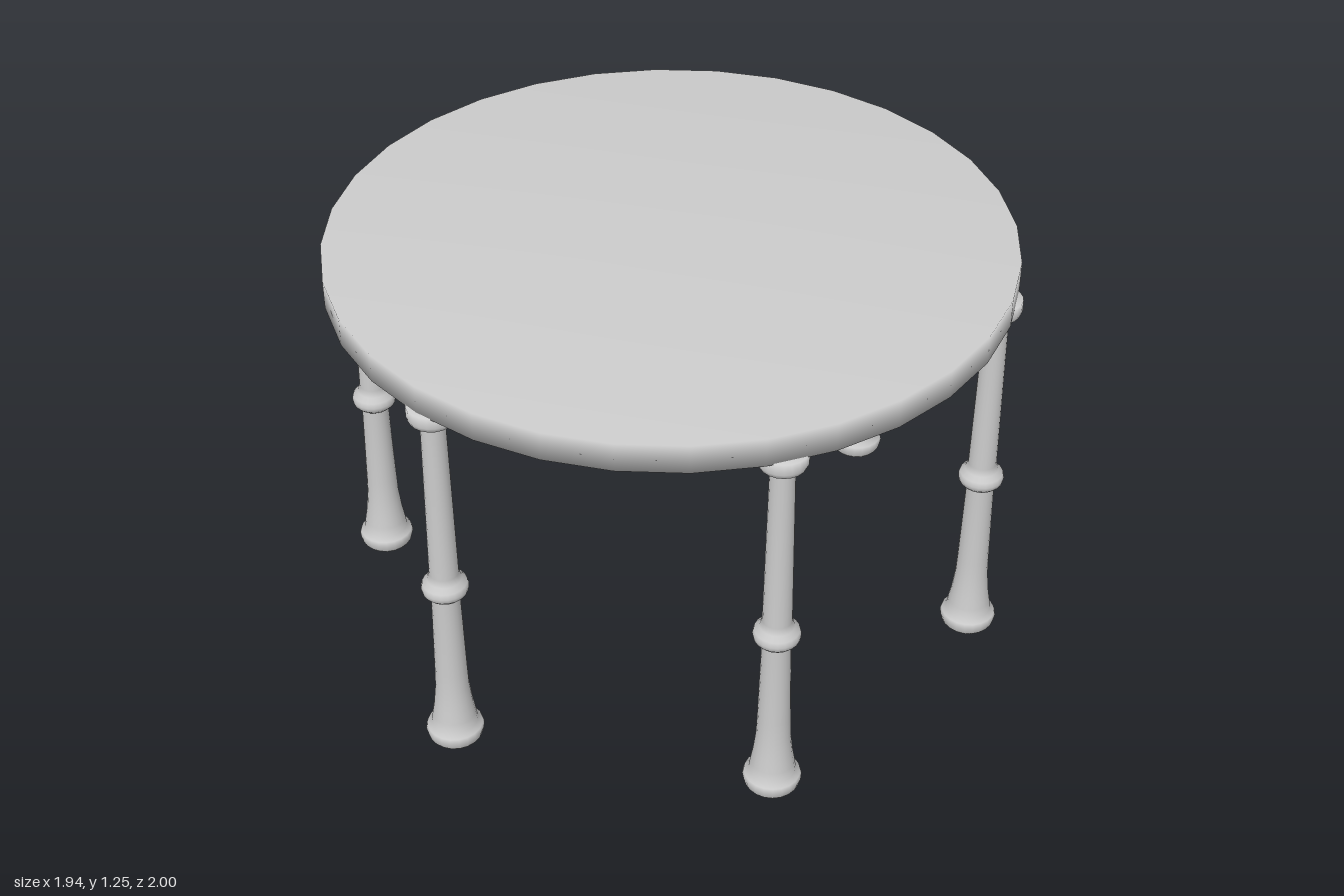
import * as THREE from 'three';

const material = new THREE.MeshStandardMaterial({ color: 0xcccccc });

// Turned part from [radius, height] pairs, listed bottom to top
function turned(name, profile, sides) {
  const points = profile.map(([r, y]) => new THREE.Vector2(r, y));
  // a quarter turn puts a corner of the polygon on every axis
  const mesh = new THREE.Mesh(new THREE.LatheGeometry(points, sides), material);
  mesh.name = name;
  return mesh;
}

// Leg: flared foot, tapered shaft, middle ring, capital
const foot = [[0, 0], [0.071, 0], [0.077, 0.008], [0.083, 0.03], [0.079, 0.043], [0.066, 0.054]];
const lowerShaft = [[0.062, 0.085], [0.055, 0.125], [0.048, 0.19], [0.046, 0.25], [0.04, 0.522]];
const ring = [[0.053, 0.527], [0.063, 0.538], [0.066, 0.552], [0.062, 0.567], [0.048, 0.58], [0.041, 0.6]];
const upperShaft = [[0.034, 1.1]];
const capital = [[0.046, 1.107], [0.062, 1.118], [0.068, 1.132], [0.068, 1.165], [0, 1.165]];
const legProfile = [...foot, ...lowerShaft, ...ring, ...upperShaft, ...capital];

export function createModel() {
  const table = new THREE.Group();
  table.name = 'roundTable';

  // Round top with softly shaded rim
  table.add(turned('tableTop', [[0, 1.162], [0.97, 1.162], [0.97, 1.246], [0, 1.246]], 32));

  // Six legs evenly spaced around the rim
  const legs = new THREE.Group();
  legs.name = 'legs';
  const spread = 0.917;
  for (let i = 0; i < 6; i++) {
    const angle = (i * Math.PI) / 3;
    const leg = turned('leg' + (i + 1), legProfile, 20);
    leg.position.set(Math.sin(angle) * spread, 0, Math.cos(angle) * spread);
    leg.rotation.y = angle;
    legs.add(leg);
  }
  table.add(legs);
  return table;
}
